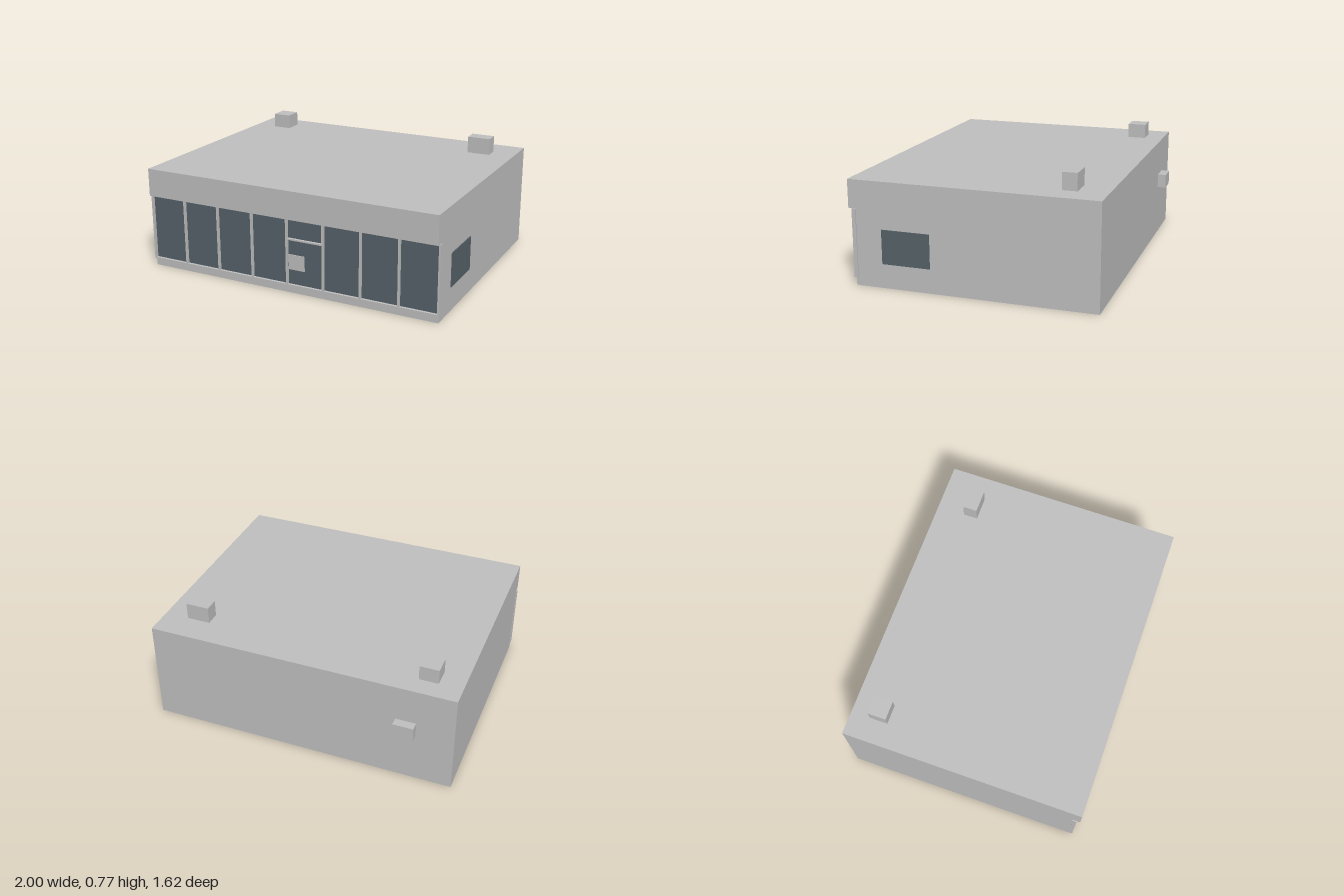
import * as THREE from 'three';

export function createModel() {
  const root = new THREE.Group();
  root.name = 'shopBuilding';
  const wall = new THREE.MeshStandardMaterial({ color: 0xc0c0c0 });
  wall.name = 'lightGrey';
  const glass = new THREE.MeshStandardMaterial({ color: 0x566269 });
  glass.name = 'darkGlass';

  // Box given by its minimum and maximum on each axis
  function box(name, material, [x0, x1], [y0, y1], [z0, z1], parent = root) {
    const mesh = new THREE.Mesh(new THREE.BoxGeometry(x1 - x0, y1 - y0, z1 - z0), material);
    mesh.position.set((x0 + x1) / 2, (y0 + y1) / 2, (z0 + z1) / 2);
    mesh.name = name;
    parent.add(mesh);
    return mesh;
  }

  const W = 0.993, BACK = -0.757, SILL = 0.775, ROOF = 0.667, HEAD = 0.486;

  // Main body with its floor set slightly above the ground
  box('body', wall, [-W, W], [0.015, HEAD], [BACK, 0.762]);
  box('roofAndFascia', wall, [-W, W], [HEAD, ROOF], [BACK, 0.81]);
  box('frontSill', wall, [-W, W], [0.015, 0.05], [0.762, SILL]);

  // Thin skirt around the recessed floor
  const skirt = new THREE.Group();
  skirt.name = 'skirt';
  root.add(skirt);
  const t = 0.01;
  box('skirtFront', wall, [-W, W], [0, 0.015], [SILL - t, SILL], skirt);
  box('skirtBack', wall, [-W, W], [0, 0.015], [BACK, BACK + t], skirt);
  for (const s of [-1, 1]) {
    const xs = s > 0 ? [W - t, W] : [-W, -W + t];
    box('skirtSide', wall, xs, [0, 0.015], [BACK + t, SILL - t], skirt);
  }
  box('floorFront', wall, [-W, W], [0.015, 0.02], [0.762, SILL - 0.001], skirt);

  // Shop front: glazing, eight bays of mullions, rails and door
  const front = new THREE.Group();
  front.name = 'shopFront';
  root.add(front);
  box('frontGlass', glass, [-0.99, 0.99], [0.05, HEAD], [0.762, 0.77], front);
  for (let i = 0; i <= 8; i++) {
    const x = -0.993 + i * 0.24825;
    box('mullion', wall, [x - 0.006, x + 0.006], [0.05, HEAD], [0.762, 0.787], front);
  }
  box('bottomRail', wall, [-0.993, 0.993], [0.05, 0.057], [0.762, 0.787], front);
  box('topRail', wall, [-0.993, 0.993], [HEAD - 0.004, HEAD], [0.762, 0.787], front);
  box('doorTransom', wall, [0, 0.248], [0.347, 0.357], [0.762, 0.787], front);
  box('doorNotice', wall, [0.01, 0.118], [0.153, 0.25], [0.768, 0.776], front);

  // Window on the left side
  box('sideWindow', glass, [W - 0.001, 0.999], [0.155, 0.371], [0.285, 0.595]);

  // Roof and wall service units
  box('roofUnitRight', wall, [-0.843, -0.721], [ROOF, 0.762], [-0.635, -0.515]);
  box('roofUnitLeft', wall, [0.685, 0.836], [ROOF, 0.775], [-0.573, -0.48]);
  box('wallUnit', wall, [-0.755, -0.625], [0.34, 0.432], [-0.812, BACK]);

  return root;
}
